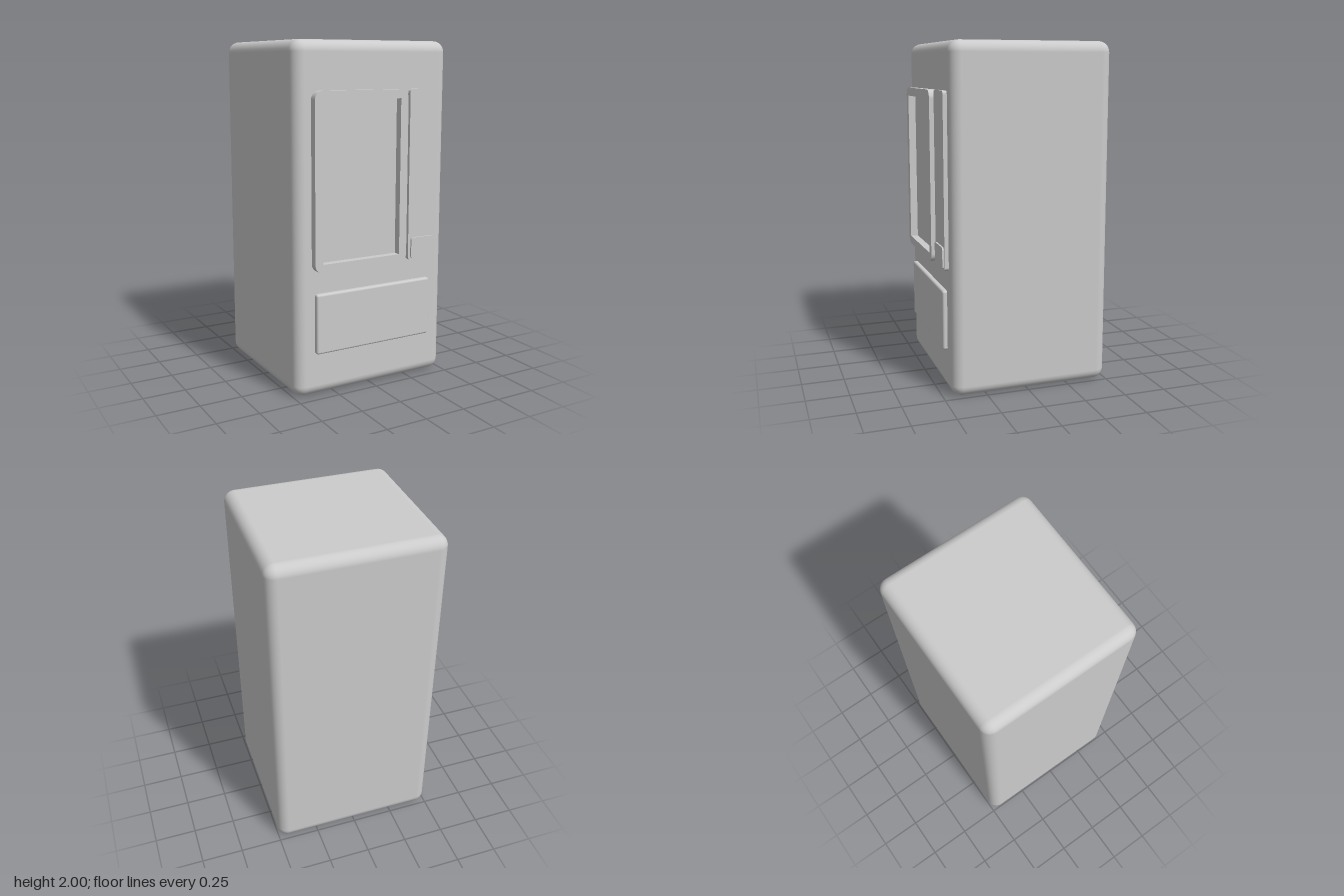
import * as THREE from 'three';
import { RoundedBoxGeometry } from 'three/addons/geometries/RoundedBoxGeometry.js';

const FRONT = 0.452; // z of the cabinet's front face
const BACK = -0.496;

// Rectangle with rounded corners, given by its edges
function roundedRect(x0, x1, y0, y1, r) {
  const s = new THREE.Shape();
  s.absarc(x1 - r, y1 - r, r, 0, Math.PI / 2);
  s.absarc(x0 + r, y1 - r, r, Math.PI / 2, Math.PI);
  s.absarc(x0 + r, y0 + r, r, Math.PI, Math.PI * 1.5);
  s.absarc(x1 - r, y0 + r, r, Math.PI * 1.5, Math.PI * 2);
  s.closePath();
  return s;
}

export function createModel() {
  const group = new THREE.Group();
  const material = new THREE.MeshStandardMaterial({ color: 0xcccccc });

  function add(name, geometry, x = 0, y = 0, z = 0) {
    const mesh = new THREE.Mesh(geometry, material);
    mesh.name = name;
    mesh.position.set(x, y, z);
    group.add(mesh);
  }

  // Raised plate on the front, from z0 out to z1
  function addPlate(name, shape, z0, z1) {
    const geometry = new THREE.ExtrudeGeometry(shape, {
      depth: z1 - z0, bevelEnabled: false, curveSegments: 5,
    });
    add(name, geometry, 0, 0, z0);
  }

  // Cabinet with softened edges
  add('cabinet', new RoundedBoxGeometry(1, 2, FRONT - BACK, 4, 0.064), 0, 1, (FRONT + BACK) / 2);

  // Display window frame with a square-cornered opening
  const frame = roundedRect(-0.4, 0.2, 0.73, 1.73, 0.05);
  frame.holes.push(new THREE.Path([
    new THREE.Vector2(-0.35, 0.78), new THREE.Vector2(-0.35, 1.68),
    new THREE.Vector2(0.15, 1.68), new THREE.Vector2(0.15, 0.78),
  ]));
  addPlate('windowFrame', frame, FRONT - 0.01, 0.496);

  // Control strip and the coin return on it
  addPlate('controlPanel', roundedRect(0.227, 0.427, 0.73, 1.73, 0.02), FRONT - 0.01, 0.476);
  addPlate('coinReturn', roundedRect(0.243, 0.415, 0.74, 0.865, 0.015), 0.47, 0.486);

  // Delivery flap with softened edges
  add('deliveryFlap', new RoundedBoxGeometry(0.764, 0.35, 0.06, 3, 0.013), 0, 0.43, 0.449);

  return group;
}
